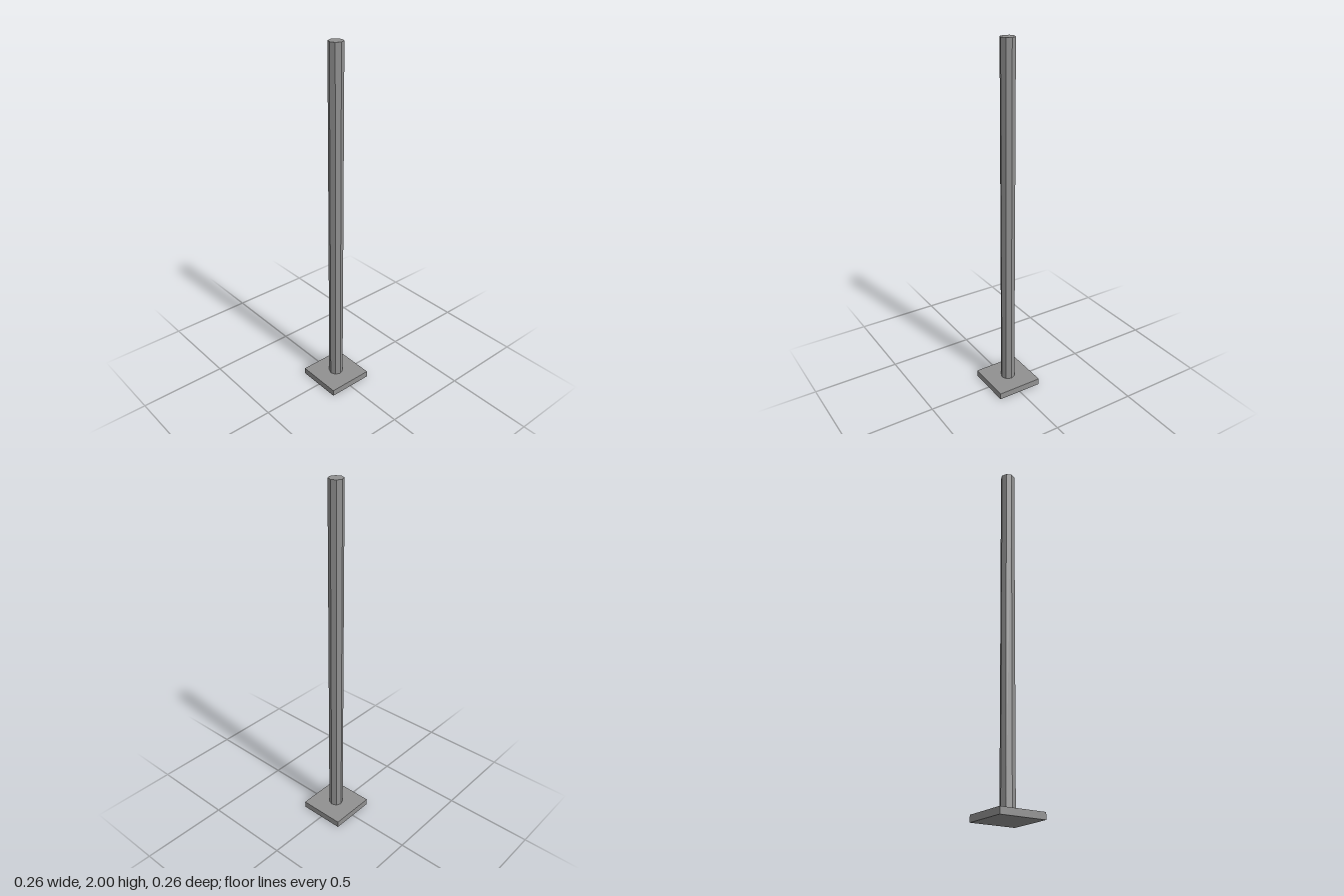
import * as THREE from 'three';

const BASE_WIDTH = 0.263;
const BASE_HEIGHT = 0.037;
const TOTAL_HEIGHT = 2;
const POST_RADIUS = 0.04;

export function createModel() {
  const model = new THREE.Group();
  model.name = 'post';
  const material = new THREE.MeshStandardMaterial({ color: 0x919191, flatShading: true });

  // Square foot plate
  const base = new THREE.Mesh(new THREE.BoxGeometry(BASE_WIDTH, BASE_HEIGHT, BASE_WIDTH), material);
  base.name = 'basePlate';
  base.position.y = BASE_HEIGHT / 2;

  // Eight-sided pole with corners on the x and z axes
  const poleHeight = TOTAL_HEIGHT - BASE_HEIGHT;
  const pole = new THREE.Mesh(new THREE.CylinderGeometry(POST_RADIUS, POST_RADIUS, poleHeight, 8), material);
  pole.name = 'pole';
  pole.position.y = BASE_HEIGHT + poleHeight / 2;

  model.add(base, pole);
  return model;
}
